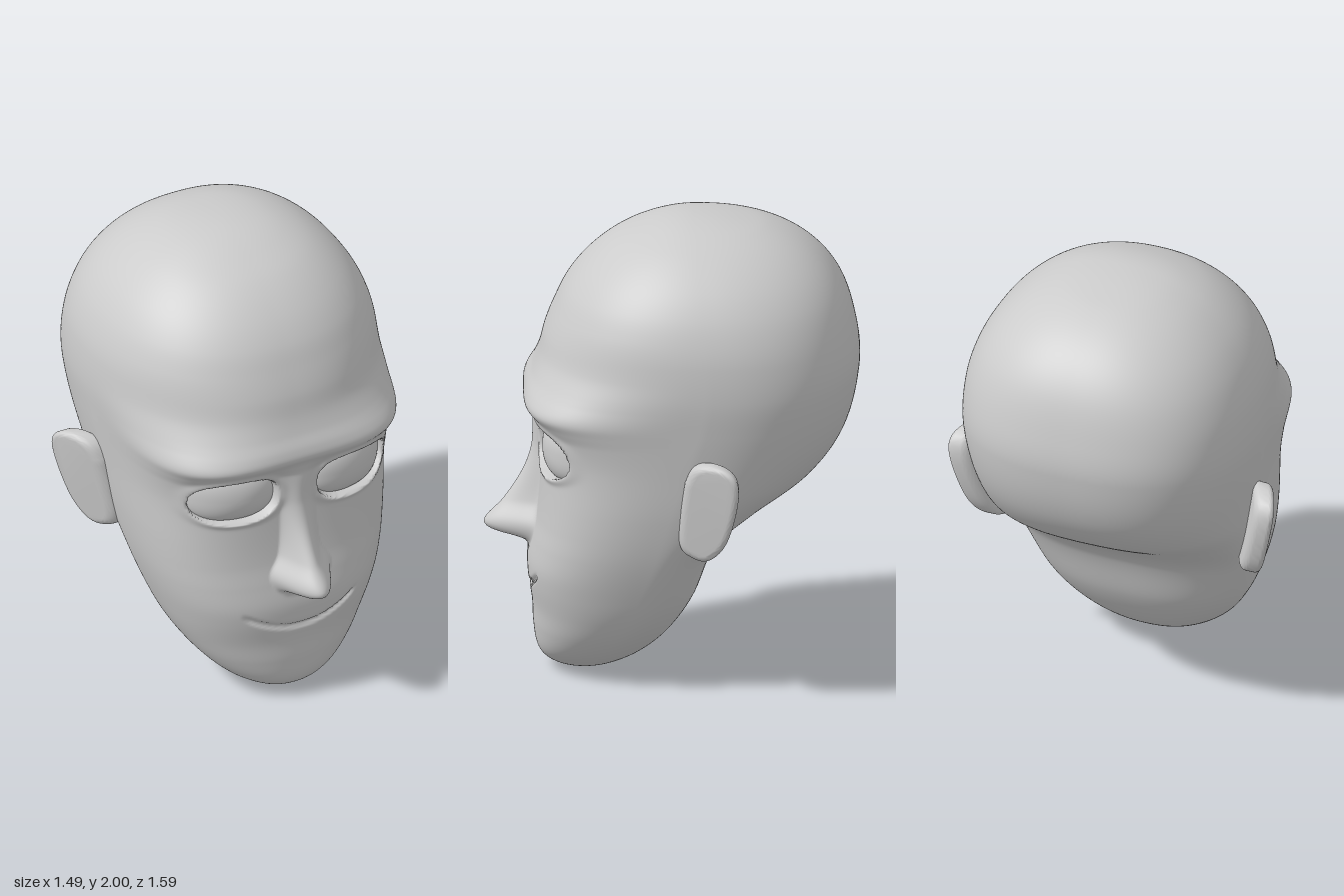
import * as THREE from 'three';
import { toCreasedNormals } from 'three/addons/utils/BufferGeometryUtils.js';

const angleOf = y => Math.acos(THREE.MathUtils.clamp(1 - y, -1, 1));
const smooth = THREE.MathUtils.smoothstep;
const gauss = (d, s) => Math.exp(-(d * d) / (2 * s * s));

// Smooth curve through [height, value] pairs, eased so that both poles close round
function profile(points) {
  const t = points.map(p => angleOf(p[0])), v = points.map(p => p[1]), n = t.length - 1;
  const slope = t.map((_, i) => {
    const a = Math.max(i - 1, 0), b = Math.min(i + 1, n);
    return (v[b] - v[a]) / (t[b] - t[a]);
  });
  return y => {
    const q = THREE.MathUtils.clamp(angleOf(y), t[0], t[n]);
    let i = 0;
    while (i < n - 1 && q > t[i + 1]) i++;
    const h = t[i + 1] - t[i], u = (q - t[i]) / h, w = 1 - u;
    return v[i] * (1 + 2 * u) * w * w + slope[i] * h * u * w * w
      + v[i + 1] * u * u * (3 - 2 * u) - slope[i + 1] * h * u * u * w;
  };
}

// Head outline: half width, front and back edges, and depth of the widest point
const width = profile([[0, 0], [0.02, 0.115], [0.05, 0.18], [0.1, 0.26], [0.2, 0.36], [0.3, 0.425], [0.4, 0.47],
  [0.6, 0.535], [0.8, 0.575], [1, 0.602], [1.2, 0.628], [1.35, 0.64], [1.5, 0.63], [1.6, 0.606], [1.7, 0.562],
  [1.8, 0.49], [1.9, 0.374], [1.96, 0.255], [1.985, 0.165], [2, 0]]);
const front = profile([[0, 0.39], [0.015, 0.475], [0.05, 0.54], [0.1, 0.572], [0.2, 0.588], [0.3, 0.593],
  [0.42, 0.61], [0.5, 0.612], [0.6, 0.595], [0.7, 0.575], [0.85, 0.56], [1, 0.553], [1.12, 0.558], [1.17, 0.588],
  [1.22, 0.628], [1.27, 0.622], [1.33, 0.592], [1.4, 0.566], [1.5, 0.54], [1.6, 0.5], [1.7, 0.45], [1.8, 0.37],
  [1.9, 0.245], [1.96, 0.115], [2, -0.09]]);
const back = profile([[0, 0.39], [0.015, 0.28], [0.05, 0.19], [0.14, 0.06], [0.23, -0.02], [0.36, -0.1],
  [0.57, -0.18], [0.66, -0.25], [0.77, -0.39], [0.92, -0.6], [1.1, -0.73], [1.34, -0.79], [1.5, -0.78],
  [1.71, -0.715], [1.86, -0.59], [1.96, -0.4], [1.985, -0.28], [2, -0.09]]);
const middle = profile([[0, 0.39], [0.1, 0.33], [0.3, 0.2], [0.6, 0.08], [1, -0.06], [1.35, -0.15], [2, -0.09]]);
const frontPower = profile([[0, 2.1], [0.2, 2.3], [0.7, 2.9], [1, 3.2], [1.2, 3.8], [1.3, 3], [1.42, 2.4],
  [1.6, 2.3], [2, 2.1]]);
const backPower = profile([[0, 2.1], [0.6, 2.5], [1.3, 2.5], [2, 2.2]]);

// How much the sides of the face close in towards the front
const taper = y => 0.08 * gauss(y - 1.15, 0.25);

// Nose height above the face and its half width
const noseHeight = profile([[0.54, 0], [0.57, 0.045], [0.6, 0.172], [0.64, 0.207], [0.73, 0.143], [0.86, 0.073],
  [0.97, 0.042], [1.1, 0.035], [1.2, 0]]);
const noseWidth = profile([[0.54, 0.09], [0.59, 0.13], [0.65, 0.145], [0.74, 0.1], [0.9, 0.085], [1.05, 0.085],
  [1.2, 0.14]]);

// Radius of a unit superellipse
const superRadius = (a, n) => (Math.abs(Math.sin(a)) ** n + Math.abs(Math.cos(a)) ** n) ** (-1 / n);

// Undetailed face depth at a point
function faceZ(x, y) {
  const n = frontPower(y);
  let v = 1;
  for (let k = 0; k < 4; k++) {
    const u = Math.min(Math.abs(x) / (width(y) * (1 - taper(y) * v)), 1);
    v = (1 - u ** n) ** (1 / n);
  }
  return middle(y) + (front(y) - middle(y)) * v;
}

// Eye opening: centre, half sizes and outline power
const EYE = { x: 0.278, y: 1.037, a: 0.17, b: 0.101, n: 2.5 };

// Sculpt nose, eye sockets, lids and mouth into the front of the head
function sculpt(x, y, z) {
  const ax = Math.abs(x);
  const dx = Math.abs(ax - EYE.x) / EYE.a, dy = Math.abs(y - EYE.y) / EYE.b;
  const r = (dx ** EYE.n + dy ** EYE.n) ** (1 / EYE.n);
  let out = z;
  if (y > 0.54 && y < 1.2) {
    const u = Math.min(ax / noseWidth(y), 1);
    out += Math.max(noseHeight(y), 0) * (1 - u * u) ** 1.5;
  }
  out += 0.012 * gauss(r - 1.16, 0.1);
  const socket = 1 - smooth(r, 1, 1.1);
  out += (faceZ(ax, EYE.y) - 0.075 - out) * socket;
  const lip = y - (0.378 + 0.085 * (ax / 0.26) ** 2), fade = 1 - smooth(ax, 0.23, 0.28);
  return out - 0.016 * fade * gauss(lip, 0.008);
}

// Surface from closed loops of points
function loft(rows, cols, point) {
  const positions = [], index = [];
  for (let i = 0; i <= rows; i++) {
    for (let j = 0; j < cols; j++) {
      positions.push(...point(i / rows, (j / cols) * Math.PI * 2));
      if (i === rows) continue;
      const a = i * cols + j, b = i * cols + (j + 1) % cols;
      index.push(a, b, b + cols, a, b + cols, a + cols);
    }
  }
  const geometry = new THREE.BufferGeometry();
  geometry.setAttribute('position', new THREE.Float32BufferAttribute(positions, 3));
  geometry.setIndex(index);
  geometry.computeVertexNormals();
  return geometry;
}

// Rings are denser around the features and columns denser at the face
function headGeometry() {
  return loft(250, 270, (s, a) => {
    const t = s + 0.07 * Math.sin(2 * Math.PI * s);
    const y = 1 - Math.cos(Math.PI * t);
    const angle = a - 0.5 * Math.sin(a), c = Math.cos(angle), m = middle(y);
    const r = superRadius(angle, c > 0 ? frontPower(y) : backPower(y));
    const x = width(y) * r * Math.sin(angle) * (1 - taper(y) * r * Math.max(c, 0));
    const z = m + r * c * (c > 0 ? front(y) - m : m - back(y));
    return [x, y, c > 0.05 ? sculpt(x, y, z) : z];
  });
}

// Domed eye surface that follows the curve of the face
function eyeGeometry(side) {
  return loft(20, 72, (s, a) => {
    const r = 1.08 * (1 - s), k = r * superRadius(a, EYE.n);
    const x = side * EYE.x + EYE.a * k * Math.cos(a);
    const y = EYE.y + EYE.b * k * Math.sin(a);
    return [x, y, faceZ(x, EYE.y) - 0.05 + 0.058 * Math.sqrt(1 - (r / 1.12) ** 2)];
  });
}

// Rounded slab, sheared so it flares outwards to the back and top
function earGeometry() {
  const outline = [[0.082, 0.99], [0.064, 0.85], [0.058, 0.72], [0.09, 0.684], [0.14, 0.68], [0.195, 0.745],
    [0.232, 0.86], [0.25, 0.98], [0.235, 1.042], [0.175, 1.066], [0.112, 1.05]].map(p => new THREE.Vector2(...p));
  const curve = new THREE.SplineCurve([...outline, outline[0]]);
  const geometry = new THREE.ExtrudeGeometry(new THREE.Shape(curve.getPoints(64)), {
    depth: 0.035, bevelThickness: 0.03, bevelSize: 0.03, bevelSegments: 8, steps: 1
  });
  geometry.translate(0, 0, -0.065).rotateY(Math.PI / 2);
  const p = geometry.attributes.position;
  for (let i = 0; i < p.count; i++) {
    p.setX(i, p.getX(i) + 0.585 + 0.5 * (-p.getZ(i) - 0.05) + 0.15 * (p.getY(i) - 0.65));
  }
  return toCreasedNormals(geometry, 0.8);
}

export function createModel() {
  const group = new THREE.Group();
  group.name = 'head';
  const material = new THREE.MeshStandardMaterial({ color: 0xcccccc });
  const add = (name, geometry) => {
    const mesh = new THREE.Mesh(geometry, material);
    mesh.name = name;
    group.add(mesh);
    return mesh;
  };
  add('skullAndFace', headGeometry());
  const ear = earGeometry();
  for (const [name, side] of [['left', 1], ['right', -1]]) {
    add(name + 'Eye', eyeGeometry(side));
    add(name + 'Ear', ear).scale.x = side;
  }
  return group;
}
